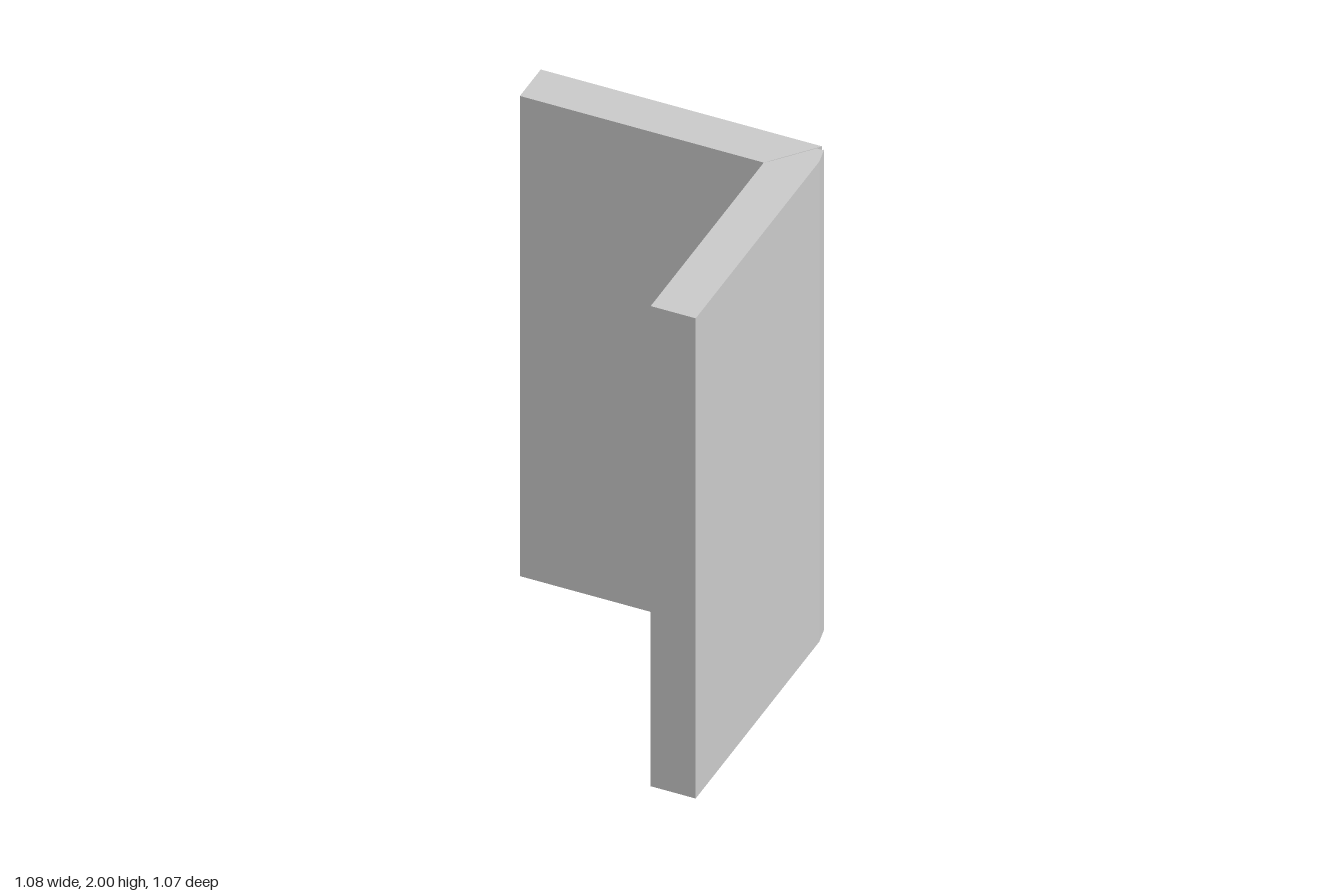
import * as THREE from 'three';

// Extrude a plan outline of [x, z] points upward from y0 to y1
function upright(name, plan, y0, y1, material) {
  const shape = new THREE.Shape(plan.map(([x, z]) => new THREE.Vector2(x, -z)));
  const geometry = new THREE.ExtrudeGeometry(shape, { depth: y1 - y0, bevelEnabled: false });
  geometry.rotateX(-Math.PI / 2).translate(0, y0, 0);
  const mesh = new THREE.Mesh(geometry, material);
  mesh.name = name;
  return mesh;
}

export function createModel() {
  const group = new THREE.Group();
  group.name = 'cornerPanel';
  const grey = new THREE.MeshStandardMaterial({ color: 0xcccccc, flatShading: true });

  const height = 2;
  const outer = 0.537;
  const inner = 0.37;

  // Back panel with its mitred end
  group.add(upright('backPanel', [
    [-0.535, -outer], [0.509, -outer], [inner, -inner], [-0.535, -inner],
  ], 0, height, grey));

  // Side panel with its mitred end and eased outer corner
  group.add(upright('sidePanel', [
    [inner, -inner], [0.523, -0.523], [outer, -0.455], [outer, 0.534], [inner, 0.534],
  ], 0, height, grey));

  // Thin wedge filling the mitre joint
  group.add(upright('jointFiller', [
    [inner, -inner], [0.495, -0.521], [0.518, -0.521],
  ], 0.002, height - 0.002, grey));

  // Slightly raised strip on the free end of the back panel
  group.add(upright('endStrip', [
    [-0.539, -0.522], [-0.534, -0.522], [-0.534, -0.385], [-0.539, -0.385],
  ], 0.01, height - 0.01, grey));

  return group;
}
